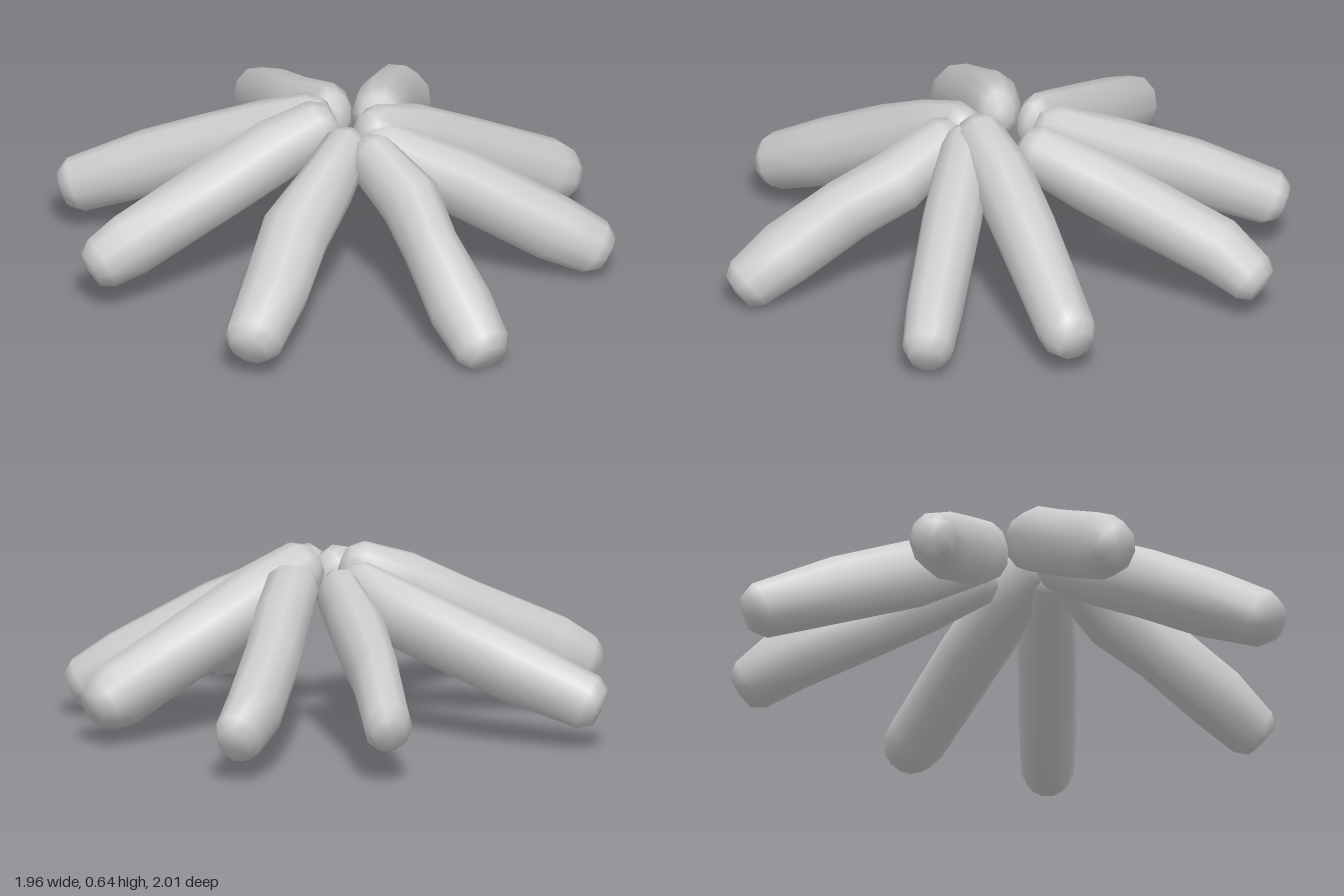
import * as THREE from 'three';

const SIDES = 10;

// Stations [x, y, z, halfWidth] from the raised inner end to the outer end
const LOGS = {
  backLog: [[0.13, 0.52, -0.15, 0.095], [0.08, 0.435, -0.35, 0.1], [0.03, 0.35, -0.53, 0.1], [-0.03, 0.235, -0.8, 0.1], [-0.03, 0.16, -0.935, 0.085]],
  backRightLog: [[-0.03, 0.515, -0.12, 0.075], [-0.19, 0.41, -0.28, 0.095], [-0.35, 0.315, -0.49, 0.085], [-0.51, 0.2, -0.73, 0.085]],
  backLeftLog: [[0.18, 0.55, 0.05, 0.09], [0.27, 0.47, -0.1, 0.11], [0.4, 0.355, -0.28, 0.11], [0.61, 0.175, -0.55, 0.1], [0.645, 0.15, -0.6, 0.095]],
  leftLog: [[0.2, 0.515, 0.08, 0.09], [0.47, 0.37, -0.02, 0.105], [0.78, 0.185, -0.13, 0.1], [0.91, 0.11, -0.18, 0.09]],
  frontLeftLog: [[0.2, 0.515, 0.16, 0.085], [0.38, 0.41, 0.25, 0.105], [0.5, 0.315, 0.385, 0.095], [0.66, 0.18, 0.535, 0.115], [0.77, 0.085, 0.625, 0.1]],
  frontLog: [[0.11, 0.52, 0.14, 0.08], [0.09, 0.45, 0.3, 0.095], [0.04, 0.35, 0.5, 0.125], [0.045, 0.245, 0.72, 0.12], [0.035, 0.145, 0.935, 0.105]],
  frontRightLog: [[-0.01, 0.56, 0.075, 0.08], [-0.14, 0.49, 0.18, 0.105], [-0.31, 0.38, 0.32, 0.11], [-0.55, 0.23, 0.54, 0.1], [-0.63, 0.18, 0.61, 0.09]],
  rightLog: [[-0.06, 0.52, -0.04, 0.065], [-0.23, 0.44, -0.04, 0.085], [-0.45, 0.355, -0.02, 0.09], [-0.65, 0.275, 0, 0.095], [-0.91, 0.17, 0.055, 0.085]],
};

// Loft oval rings along the stations and close both ends with blunt caps
function logGeometry(stations) {
  const centres = stations.map(([x, y, z]) => new THREE.Vector3(x, y, z));
  const n = centres.length;
  const body = centres.map((c, i) => ({
    c,
    t: centres[Math.min(i + 1, n - 1)].clone().sub(centres[Math.max(i - 1, 0)]).normalize(),
    w: stations[i][3],
    h: i === 0 || i === n - 1 ? 0.1 : 0.12,
  }));
  const along = (r, distance) => r.c.clone().addScaledVector(r.t, distance);
  const cap = (r, distance, scale) => ({ c: along(r, distance), t: r.t, w: r.w * scale, h: r.h * scale });
  const first = body[0], last = body[n - 1];
  const rings = [cap(first, -0.045, 0.65), ...body, cap(last, 0.045, 0.7)];

  const points = [], index = [];
  const up = new THREE.Vector3(0, 1, 0);
  for (const { c, t, w, h } of rings) {
    const side = new THREE.Vector3().crossVectors(t, up).normalize();
    const top = new THREE.Vector3().crossVectors(side, t);
    for (let k = 0; k < SIDES; k++) {
      const a = (k / SIDES) * Math.PI * 2;
      points.push(c.clone().addScaledVector(side, Math.cos(a) * w).addScaledVector(top, Math.sin(a) * h));
    }
  }
  const innerTip = points.push(along(first, -0.06)) - 1;
  const outerTip = points.push(along(last, 0.055)) - 1;
  const lastRow = (rings.length - 1) * SIDES;
  for (let k = 0; k < SIDES; k++) {
    const next = (k + 1) % SIDES;
    for (let row = 0; row < lastRow; row += SIDES) {
      const a = row + k, b = row + next;
      index.push(a, a + SIDES, b, b, a + SIDES, b + SIDES);
    }
    index.push(innerTip, k, next, outerTip, lastRow + next, lastRow + k);
  }
  const geometry = new THREE.BufferGeometry().setFromPoints(points);
  geometry.setIndex(index);
  geometry.computeVertexNormals();
  return geometry;
}

export function createModel() {
  const model = new THREE.Group();
  model.name = 'logPile';
  const material = new THREE.MeshStandardMaterial({ color: 0xcccccc });
  // Eight logs leaning together in a ring
  for (const [name, stations] of Object.entries(LOGS)) {
    const log = new THREE.Mesh(logGeometry(stations), material);
    log.name = name;
    model.add(log);
  }
  return model;
}
